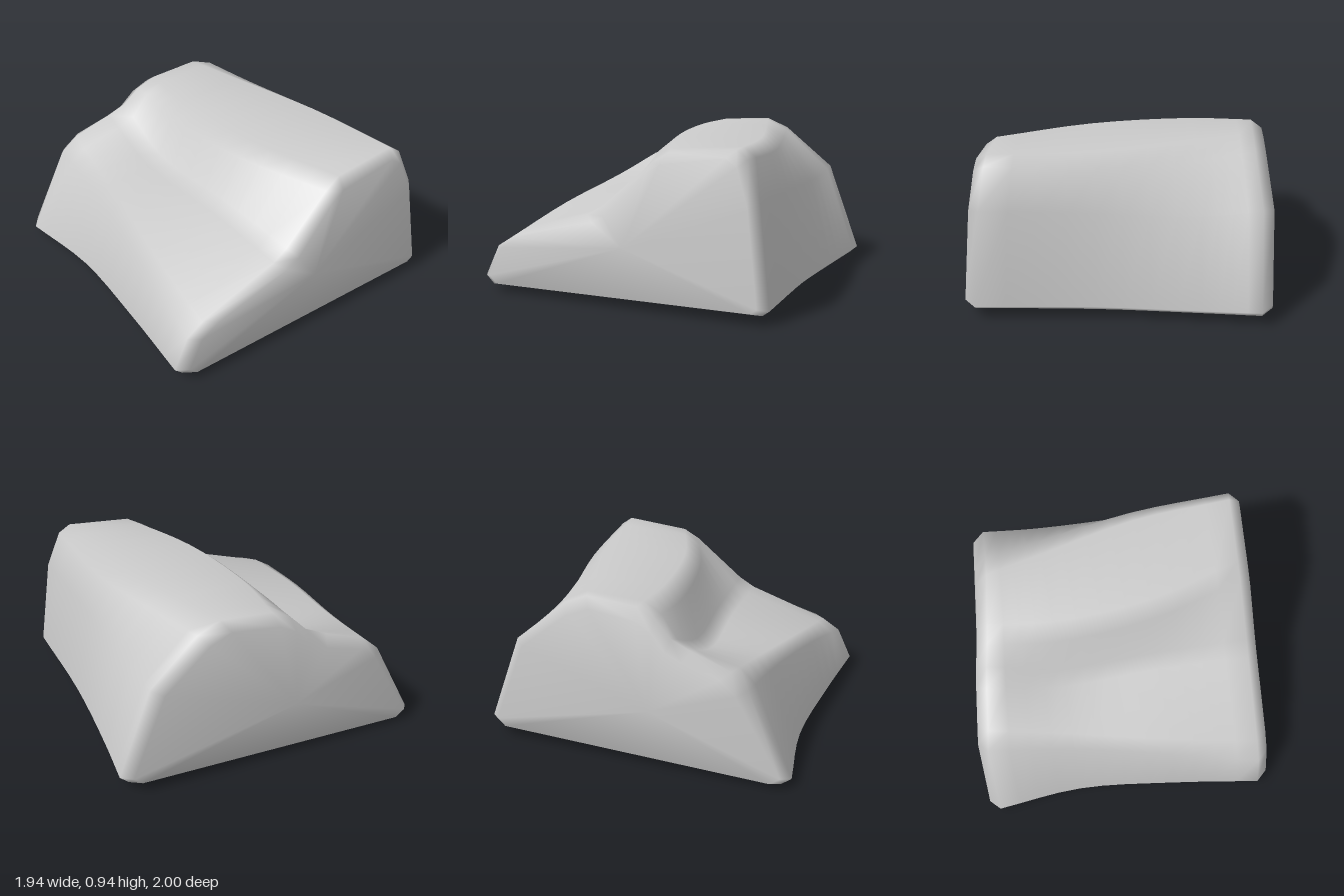
import * as THREE from 'three';

// Slanted end faces: x of the left and right side for a given z and y
const leftX = (z, y) => -0.89 - 0.1 * z - 0.03 * (1 - z * z) + 0.2 * Math.max(0, y - 0.55);
const rightX = (z, y) => 0.89 - 0.093 * z - 0.09 * y * y;

// Cross-sections as [z, y]: front foot, front ridge, shelf, step, top, back, back foot
const leftSection = [[0.82, 0.005], [0.88, 0.05], [0.62, 0.55], [0.52, 0.64], [0.28, 0.72], [0.16, 0.77], [0.06, 0.87],
  [-0.05, 0.92], [-0.36, 0.94], [-0.5, 0.88], [-0.8, 0.63], [-1, 0.09], [-0.95, 0.045]];
const midLeftSection = [[0.79, 0], [0.84, 0.05], [0.68, 0.48], [0.6, 0.55], [0.3, 0.56], [0.2, 0.6], [0.1, 0.83],
  [0, 0.92], [-0.44, 0.93], [-0.56, 0.86], [-0.78, 0.6], [-0.94, 0.08], [-0.9, 0.045]];
const midRightSection = [[0.86, 0.01], [0.91, 0.06], [0.8, 0.39], [0.72, 0.45], [0.28, 0.53], [0.19, 0.58], [0.06, 0.83],
  [-0.04, 0.91], [-0.57, 0.92], [-0.66, 0.85], [-0.75, 0.62], [-0.86, 0.08], [-0.82, 0.045]];
const rightSection = [[0.95, 0.03], [1, 0.08], [0.91, 0.27], [0.8, 0.34], [0.3, 0.51], [0.2, 0.57], [-0.1, 0.83],
  [-0.2, 0.89], [-0.6, 0.93], [-0.67, 0.88], [-0.75, 0.65], [-0.82, 0.08], [-0.78, 0.05]];

const BEVEL = 0.06;
const STEPS = 12;
const CENTRE = [0.05, 0.35];

// Ring of an end face, pulled in from the edge so that a bevel remains
function capRing(section, xAt) {
  return section.map(([z, y]) => {
    const dz = CENTRE[0] - z, dy = CENTRE[1] - y;
    const k = BEVEL / Math.hypot(dz, dy);
    const cz = z + dz * k, cy = y + dy * k;
    return new THREE.Vector3(xAt(cz, cy), cy, cz);
  });
}

function rockGeometry() {
  // One smooth curve from left to right through each section corner
  const rails = leftSection.map(([z, y], j) => new THREE.CatmullRomCurve3([
    new THREE.Vector3(leftX(z, y) + BEVEL, y, z),
    new THREE.Vector3(-0.4, midLeftSection[j][1], midLeftSection[j][0]),
    new THREE.Vector3(0.2, midRightSection[j][1], midRightSection[j][0]),
    new THREE.Vector3(rightX(...rightSection[j]) - BEVEL, rightSection[j][1], rightSection[j][0]),
  ]));

  const rings = [capRing(leftSection, leftX)];
  for (let i = 0; i <= STEPS; i++) rings.push(rails.map((rail) => rail.getPoint(i / STEPS)));
  rings.push(capRing(rightSection, rightX));

  const n = rails.length;
  const points = rings.flat();
  const index = [];
  for (let i = 0; i < rings.length - 1; i++) {
    for (let j = 0; j < n; j++) {
      const k = (j + 1) % n;
      const a = i * n + j, b = a + n, c = (i + 1) * n + k, d = i * n + k;
      index.push(a, b, c, a, c, d);
    }
  }

  // End faces
  const last = (rings.length - 1) * n;
  const leftCentre = points.push(new THREE.Vector3(leftX(...CENTRE), CENTRE[1], CENTRE[0])) - 1;
  const rightCentre = points.push(new THREE.Vector3(rightX(...CENTRE), CENTRE[1], CENTRE[0])) - 1;
  for (let j = 0; j < n; j++) {
    const k = (j + 1) % n;
    index.push(leftCentre, j, k, rightCentre, last + k, last + j);
  }

  const geometry = new THREE.BufferGeometry().setFromPoints(points);
  geometry.setIndex(index);
  geometry.computeVertexNormals();
  return geometry;
}

export function createModel() {
  const group = new THREE.Group();
  group.name = 'rock';
  const rock = new THREE.Mesh(rockGeometry(), new THREE.MeshStandardMaterial({ color: 0xcccccc }));
  rock.name = 'rockBody';
  group.add(rock);
  return group;
}
